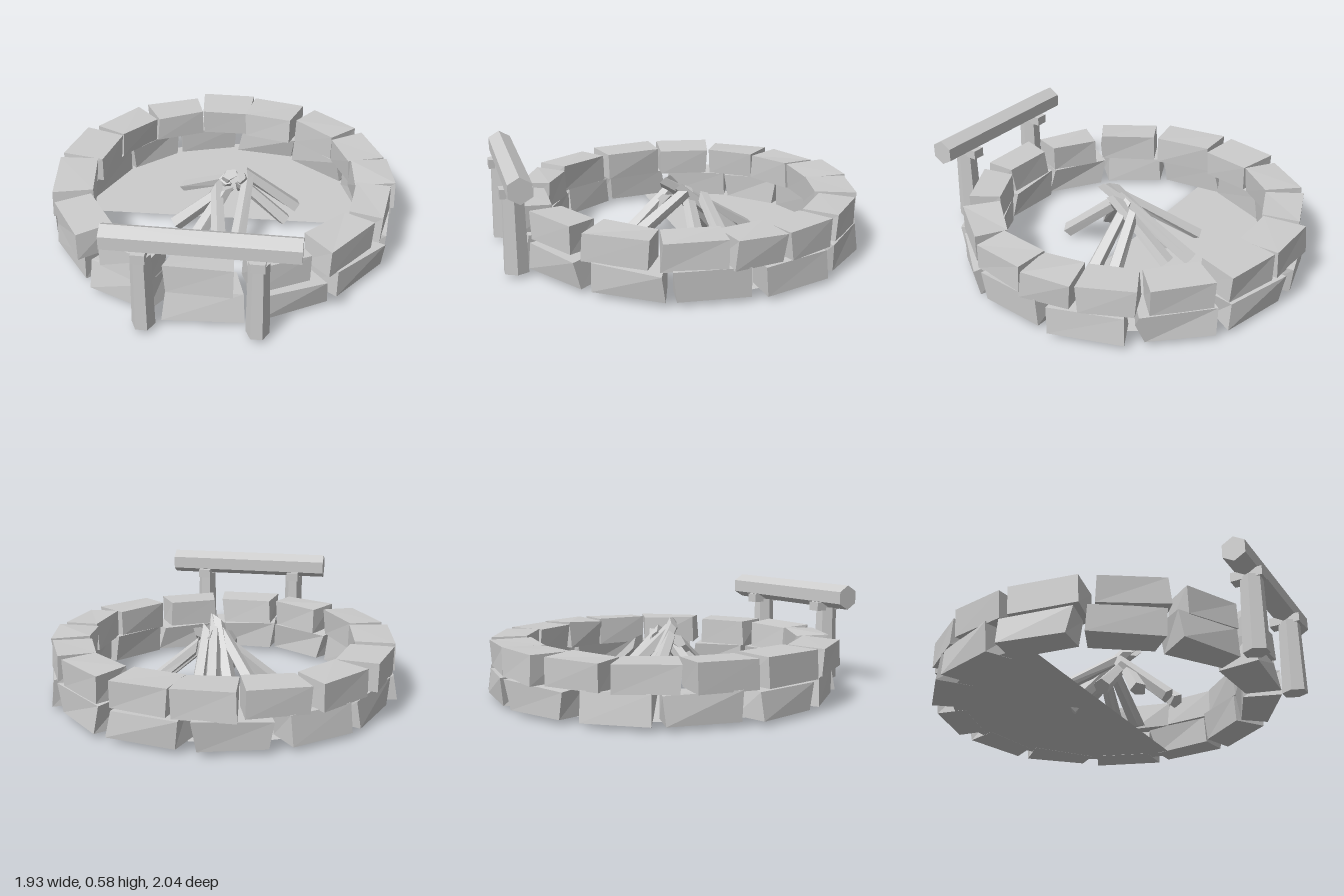
import * as THREE from 'three';

const stone = new THREE.MeshStandardMaterial({ color: 0xcccccc, flatShading: true, side: THREE.DoubleSide });
stone.name = 'grey';

// small seeded generator, returns -1..1
let seed = 7;
const rnd = () => {
  seed = (seed * 16807) % 2147483647;
  return (seed / 2147483647) * 2 - 1;
};

function add(parent, geometry, name) {
  const mesh = new THREE.Mesh(geometry, stone);
  mesh.name = name;
  parent.add(mesh);
  return mesh;
}

// rough block: inner side (+z) shorter than outer, corners nudged
function block(length, height, depth, rough, roughTop) {
  const nudges = Array.from({ length: 8 }, () => [rnd() * rough, rnd() * roughTop, rnd() * rough]);
  const g = new THREE.BoxGeometry(length, height, depth);
  const p = g.attributes.position;
  for (let i = 0; i < p.count; i++) {
    const [x, y, z] = [p.getX(i), p.getY(i), p.getZ(i)];
    const n = nudges[(x > 0 ? 1 : 0) + (y > 0 ? 2 : 0) + (z > 0 ? 4 : 0)];
    p.setXYZ(i, x * (z > 0 ? 0.93 : 1.05) + n[0], y + (y > 0 ? n[1] : 0), z + n[2]);
  }
  g.computeVertexNormals();
  return g;
}

// split log from foot to top: slanted upper cut, foot trimmed level with the ground
function logGeometry(foot, top, ground) {
  const dir = top.clone().sub(foot);
  const g = new THREE.CylinderGeometry(0.034, 0.046, dir.length(), 5);
  const p = g.attributes.position;
  for (let i = 0; i < p.count; i++) {
    if (p.getY(i) > 0) p.setY(i, p.getY(i) + p.getX(i) * 1.2);
  }
  g.applyQuaternion(new THREE.Quaternion().setFromUnitVectors(new THREE.Vector3(0, 1, 0), dir.normalize()));
  const mid = foot.clone().add(top).multiplyScalar(0.5);
  g.translate(mid.x, mid.y, mid.z);
  for (let i = 0; i < p.count; i++) p.setY(i, Math.max(p.getY(i), ground));
  g.computeVertexNormals();
  return g;
}

// upper stones: x, z, length, depth, heading in degrees
const upper = [
  [-0.08, -0.88, 0.30, 0.235, 0], [0.22, -0.84, 0.30, 0.23, 14], [0.54, -0.69, 0.32, 0.19, 40],
  [0.74, -0.43, 0.28, 0.21, 65], [0.825, -0.15, 0.26, 0.21, 80], [0.81, 0.14, 0.31, 0.19, 97],
  [0.66, 0.45, 0.335, 0.19, 128], [0.35, 0.69, 0.31, 0.17, 154], [-0.01, 0.79, 0.32, 0.17, 181],
  [-0.37, 0.69, 0.30, 0.18, 207], [-0.68, 0.46, 0.34, 0.19, 238], [-0.82, 0.09, 0.35, 0.22, 261],
  [-0.80, -0.27, 0.31, 0.23, 282], [-0.65, -0.575, 0.31, 0.20, 307], [-0.39, -0.78, 0.31, 0.20, 336],
];

// fire logs: foot x, foot z, top x, top y, top z, ground level
const logs = [
  [-0.01, -0.43, 0.07, 0.37, 0.08, 0.03], [-0.26, -0.32, 0.03, 0.33, 0.03, 0.03],
  [-0.08, -0.24, 0.05, 0.38, 0.06, 0], [0.09, -0.34, 0.10, 0.33, 0.0, 0.03],
  [0.40, -0.19, 0.13, 0.27, -0.13, 0.03], [0.35, -0.04, 0.07, 0.29, -0.05, 0.03],
  [0.11, 0.32, 0.14, 0.31, 0.0, 0.01], [0.02, 0.31, -0.03, 0.29, 0.03, 0.01],
  [-0.13, 0.21, 0.02, 0.27, 0.05, 0.02], [-0.26, 0.06, 0.02, 0.27, 0.03, 0],
];

export function createModel() {
  const model = new THREE.Group();
  model.name = 'firePit';

  // stone ring: upper course
  const ring = new THREE.Group();
  ring.name = 'stoneRing';
  model.add(ring);
  for (const [x, z, length, depth, heading] of upper) {
    const top = add(ring, block(length, 0.15, depth, 0.01, 0.008), 'upperStone');
    top.position.set(x, 0.253, z);
    top.rotation.y = -THREE.MathUtils.degToRad(heading);
  }

  // stone ring: longer, rougher lower course
  const lowerCount = 13;
  for (let i = 0; i < lowerCount; i++) {
    const angle = 0.12 + (i / lowerCount) * Math.PI * 2;
    const low = add(ring, block(0.365, 0.15, 0.18, 0.025, 0.012), 'lowerStone');
    low.position.set(0.845 * Math.cos(angle), 0.103, -0.06 + 0.845 * Math.sin(angle));
    low.rotation.y = -angle - Math.PI / 2 + rnd() * 0.05;
  }

  // half floor
  const floor = add(model, new THREE.CircleGeometry(0.86, 32, 0, Math.PI), 'floor');
  floor.geometry.rotateX(-Math.PI / 2).rotateY(0.03);
  floor.position.set(0, 0.029, -0.035);

  // leaning fire logs
  const fire = new THREE.Group();
  fire.name = 'fireLogs';
  model.add(fire);
  for (const [x, z, tx, ty, tz, ground] of logs) {
    const foot = new THREE.Vector3(x, 0.035, z);
    add(fire, logGeometry(foot, new THREE.Vector3(tx, ty, tz), ground), 'log');
  }

  // bench beam on two posts with cradles
  const bench = new THREE.Group();
  bench.name = 'bench';
  model.add(bench);
  const beam = add(bench, new THREE.CylinderGeometry(0.07, 0.07, 0.96, 6), 'beam');
  beam.geometry.rotateY(Math.PI / 2).rotateZ(Math.PI / 2);
  beam.position.set(0.012, 0.517, 0.915);
  for (const x of [-0.277, 0.29]) {
    const post = add(bench, new THREE.CylinderGeometry(0.052, 0.06, 0.42, 6), 'post');
    post.geometry.rotateY(Math.PI / 2).scale(1, 1, 1.18);
    post.position.set(x, 0.235, 0.931);
    const cradle = add(bench, new THREE.BoxGeometry(0.07, 0.05, 0.17), 'cradle');
    cradle.position.set(x, 0.455, 0.915);
  }
  return model;
}
